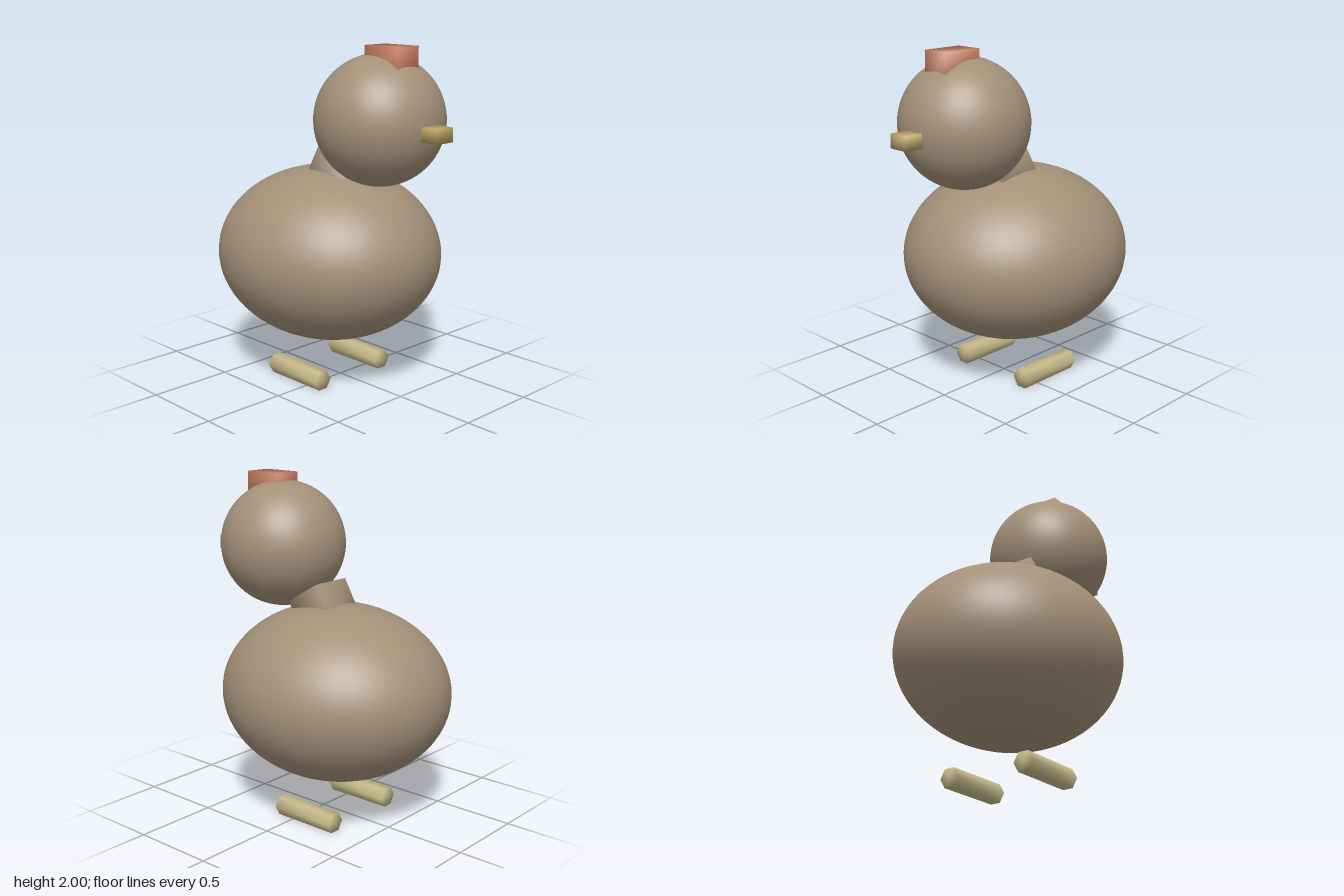
import * as THREE from 'three';
import { mergeVertices } from 'three/addons/utils/BufferGeometryUtils.js';

const FEATHER = 0xa39078, COMB = 0xc67c60, BEAK = 0xb8a060, FOOT = 0xc4b888;

// Weld shared corners so shading runs smoothly over the edges
function weld(geometry) {
  geometry.deleteAttribute('normal');
  geometry.deleteAttribute('uv');
  const welded = mergeVertices(geometry);
  welded.computeVertexNormals();
  return welded;
}

export function createModel() {
  const model = new THREE.Group();

  function add(name, geometry, color, x, y, z) {
    const mesh = new THREE.Mesh(geometry, new THREE.MeshStandardMaterial({ color }));
    mesh.name = name;
    mesh.position.set(x, y, z);
    model.add(mesh);
    return mesh;
  }

  // Ellipsoid body and round head
  const body = new THREE.SphereGeometry(1, 64, 40).scale(0.635, 0.516, 0.694);
  add('body', body, FEATHER, 0, 0.759, -0.096);
  add('head', new THREE.SphereGeometry(0.37, 64, 40), FEATHER, 0, 1.586, 0.315);

  // Neck block leaning forward from the body into the head
  const neck = add('neck', weld(new THREE.BoxGeometry(0.25, 0.3, 0.25)), FEATHER, 0, 1.21, -0.023);
  neck.rotation.x = Math.PI / 6;

  // Comb and beak, sunk into the head
  add('comb', weld(new THREE.BoxGeometry(0.164, 0.2, 0.246)), COMB, 0, 1.9, 0.398);
  add('beak', weld(new THREE.BoxGeometry(0.124, 0.08, 0.2)), BEAK, 0, 1.55, 0.69);

  // Hexagonal feet lying front to back
  for (const side of [1, -1]) {
    const foot = new THREE.CylinderGeometry(0.062, 0.062, 0.412, 6);
    foot.rotateY(Math.PI / 2).rotateX(Math.PI / 2);
    add(side > 0 ? 'leftFoot' : 'rightFoot', weld(foot), FOOT, side * 0.248, 0.054, -0.096);
  }

  return model;
}
